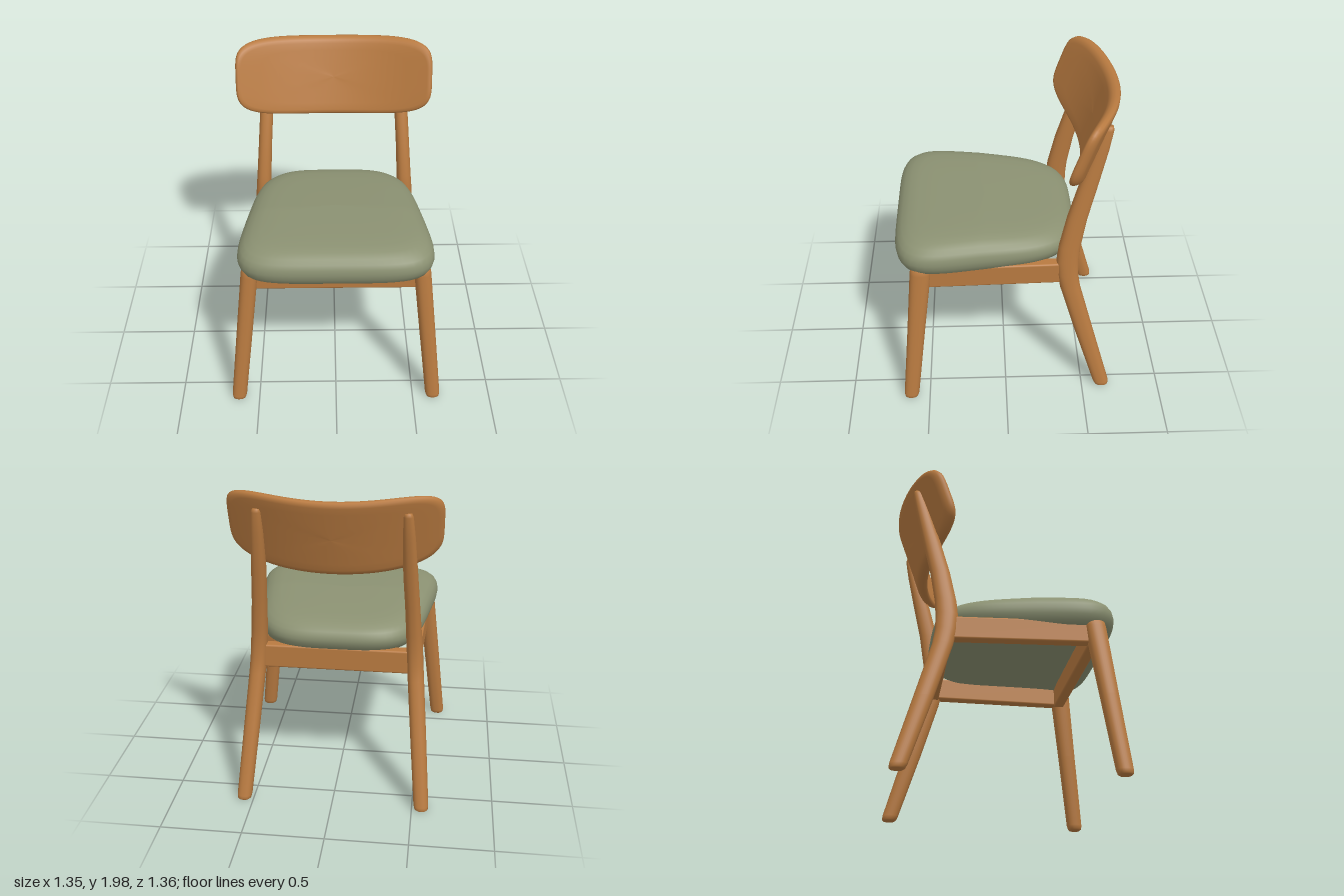
import * as THREE from 'three';
import { RoundedBoxGeometry } from 'three/addons/geometries/RoundedBoxGeometry.js';

const SIDES = 64;

// Smooth skin through rings; point(ring, angle) returns [x, y, z]
function loft(rings, point, sides = SIDES) {
  const pos = [], idx = [];
  rings.forEach((ring, i) => {
    for (let j = 0; j < sides; j++) {
      pos.push(...point(ring, (j / sides) * Math.PI * 2));
      if (i === 0) continue;
      const k = (j + 1) % sides;
      const a = (i - 1) * sides + j, b = (i - 1) * sides + k;
      const c = i * sides + j, d = i * sides + k;
      idx.push(a, c, b, b, c, d);
    }
  });
  const g = new THREE.BufferGeometry();
  g.setAttribute('position', new THREE.Float32BufferAttribute(pos, 3));
  g.setIndex(idx);
  g.computeVertexNormals();
  return g;
}

// Unit superellipse point, evenly spread by angle
function squircle(a, n) {
  const c = Math.cos(a), s = Math.sin(a);
  const r = Math.pow(Math.abs(c) ** n + Math.abs(s) ** n, -1 / n);
  return [c * r, s * r];
}

export function createModel() {
  const model = new THREE.Group();
  model.name = 'chair';
  const wood = new THREE.MeshStandardMaterial({ color: 0xb87a40 });
  wood.name = 'warm wood';
  const fabric = new THREE.MeshStandardMaterial({ color: 0x8b9172 });
  fabric.name = 'sage fabric';

  const add = (name, geometry, material) => {
    const m = new THREE.Mesh(geometry, material);
    m.name = name;
    model.add(m);
    return m;
  };

  // Legs: rings of [y, x, z, radius in x, radius in z]
  const leg = (name, side, rings) => add(name, loft(rings, ([y, x, z, rx, rz], a) => {
    const [u, v] = squircle(a, 2.5);
    return [side * x + u * rx, y, z + v * rz];
  }, 32), wood);

  const frontRings = [
    [0.01, 0.632, 0.62, 0, 0], [0.01, 0.632, 0.62, 0.034, 0.034],
    [0.018, 0.631, 0.62, 0.043, 0.043], [0.04, 0.629, 0.617, 0.047, 0.048],
    [0.5, 0.577, 0.568, 0.05, 0.055], [0.96, 0.525, 0.519, 0.052, 0.064],
    [0.99, 0.521, 0.516, 0.049, 0.062], [1.0, 0.52, 0.515, 0.04, 0.055],
    [1.0, 0.52, 0.515, 0, 0],
  ];
  const backRings = [
    [0.01, 0.56, -0.632, 0, 0], [0.01, 0.56, -0.632, 0.034, 0.036],
    [0.018, 0.559, -0.63, 0.043, 0.045], [0.04, 0.557, -0.624, 0.046, 0.05],
    [0.45, 0.522, -0.5, 0.049, 0.058], [0.8, 0.492, -0.398, 0.05, 0.062],
    [0.9, 0.484, -0.38, 0.05, 0.064], [1.0, 0.478, -0.376, 0.05, 0.067],
    [1.1, 0.471, -0.385, 0.047, 0.065], [1.3, 0.458, -0.422, 0.044, 0.06],
    [1.5, 0.444, -0.473, 0.043, 0.055], [1.75, 0.432, -0.54, 0.036, 0.042],
    [1.88, 0.426, -0.574, 0.028, 0.03], [1.9, 0.425, -0.58, 0.02, 0.02],
    [1.9, 0.425, -0.58, 0, 0],
  ];
  for (const [label, side] of [['left', 1], ['right', -1]]) {
    leg(label + 'FrontLeg', side, frontRings);
    leg(label + 'BackLeg', side, backRings);
  }

  // Seat rails joining the legs
  const rail = (name, a, b, height, thickness) => {
    const p = new THREE.Vector3(...a), q = new THREE.Vector3(...b);
    const m = add(name, new RoundedBoxGeometry(thickness, height, p.distanceTo(q), 3, 0.012), wood);
    m.position.copy(p).add(q).multiplyScalar(0.5);
    m.lookAt(q);
  };
  rail('frontRail', [-0.51, 0.915, 0.505], [0.51, 0.915, 0.505], 0.14, 0.07);
  rail('backRail', [-0.47, 0.905, -0.375], [0.47, 0.905, -0.375], 0.15, 0.07);
  for (const [label, s] of [['left', 1], ['right', -1]])
    rail(label + 'SideRail', [s * 0.515, 0.925, 0.5], [s * 0.475, 0.912, -0.37], 0.145, 0.07);

  // Seat cushion: rings of [scale, y], widening to the front
  const cushionRings = [
    [0, 0.985], [0.4, 0.983], [0.72, 0.973], [0.87, 0.959], [0.92, 0.963],
    [0.96, 0.983], [0.99, 1.02], [1, 1.055], [0.99, 1.09], [0.965, 1.118],
    [0.92, 1.143], [0.85, 1.162], [0.76, 1.173], [0.6, 1.178], [0.3, 1.18], [0, 1.18],
  ];
  add('seatCushion', loft(cushionRings, ([s, y], a) => {
    const [u, v] = squircle(a, Math.sin(a) > 0 ? 5 : 4);
    const z = 0.12 + 0.56 * v * s;
    const edgeZ = 0.12 + 0.56 * v;
    const lift = Math.max(0, (y - 1) / 0.18);
    const drop = 0.035 * lift * Math.max(0, 0.15 - z) / 0.5;
    return [u * s * (0.54 + 0.145 * edgeZ), y - drop, z];
  }, 96), fabric);

  // Backrest: rings of [scale, edge inset, depth], bent in plan and leaning back
  const backrestRings = [
    [0, 0.035, 0.036], [0.2, 0.035, 0.036], [0.4, 0.035, 0.036], [0.6, 0.035, 0.036],
    [0.8, 0.035, 0.036], [1, 0.035, 0.036], [1, 0.017, 0.031], [1, 0.005, 0.019], [1, 0, 0],
    [1, 0.005, -0.019], [1, 0.017, -0.031], [1, 0.035, -0.036], [0.8, 0.035, -0.036],
    [0.6, 0.035, -0.036], [0.4, 0.035, -0.036], [0.2, 0.035, -0.036], [0, 0.035, -0.036],
  ];
  add('backrest', loft(backrestRings, ([s, inset, t], a) => {
    const [u, v] = squircle(a, 4.5);
    const x = u * s * (0.625 - inset);
    const y = 1.737 + v * s * (0.238 - inset) + 0.16 * x * x;
    return [x, y, -0.575 - 0.34 * (y - 1.737) + 0.48 * x * x + t];
  }, 128), wood);

  return model;
}
